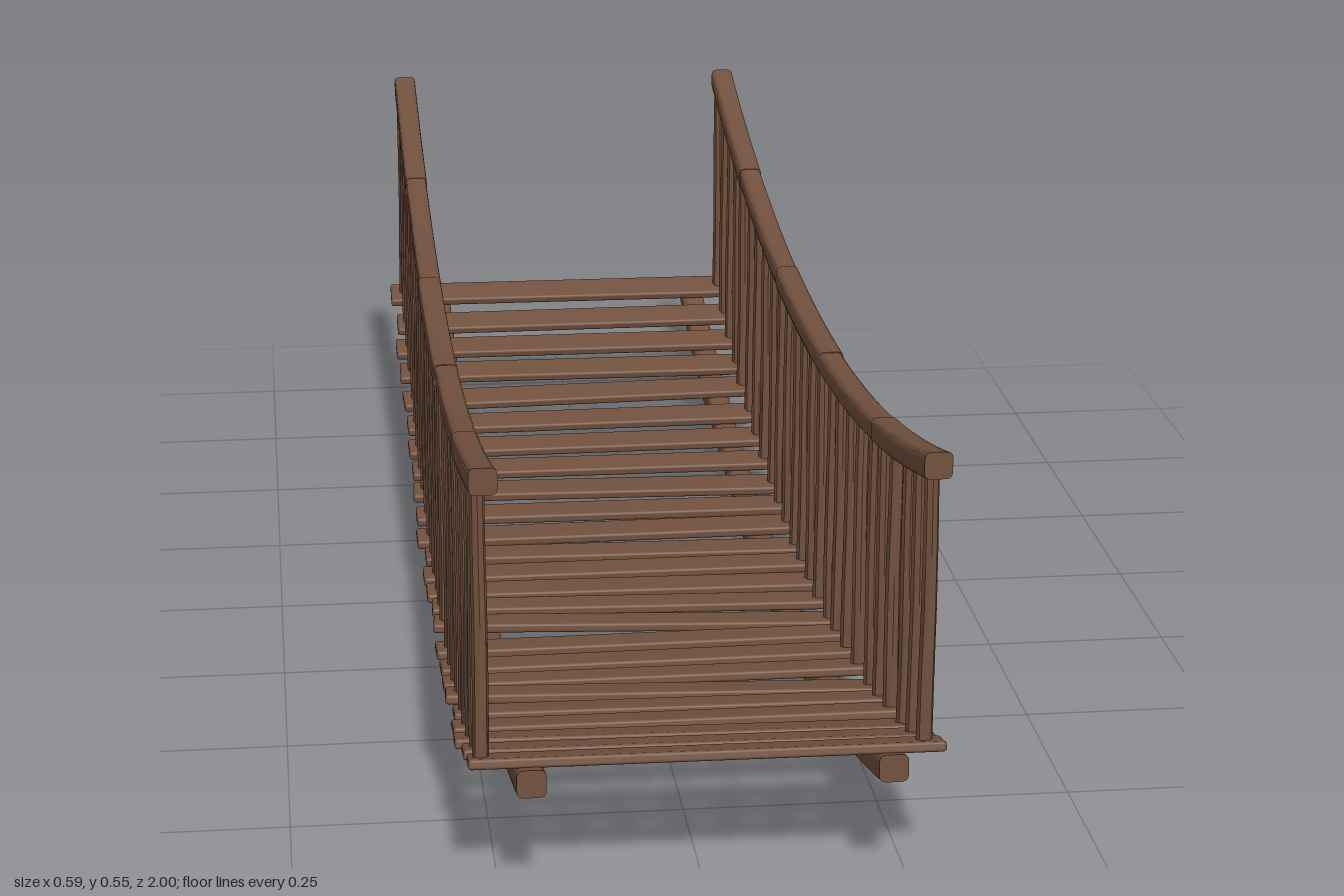
import * as THREE from 'three';
import { toCreasedNormals } from 'three/addons/utils/BufferGeometryUtils.js';
import { RoundedBoxGeometry } from 'three/addons/geometries/RoundedBoxGeometry.js';

const wood = new THREE.MeshStandardMaterial({ color: 0x72513e });
wood.name = 'brown wood';

// heights of the sagging curves along z
const deckTop = z => 0.037 + 0.142 * z * z;
const beamMid = z => 0.018 + 0.142 * z * z;
const railMid = z => 0.406 + 0.137 * z * z;

// small seeded variation in the range -1..1
let seed = 7;
const vary = () => {
  seed = (seed * 16807) % 2147483647;
  return (seed / 2147483647) * 2 - 1;
};

// square section with rounded corners
function section(size) {
  const h = size / 2, r = size * 0.24, s = new THREE.Shape();
  s.moveTo(-h + r, -h);
  s.lineTo(h - r, -h);
  s.quadraticCurveTo(h, -h, h, -h + r);
  s.lineTo(h, h - r);
  s.quadraticCurveTo(h, h, h - r, h);
  s.lineTo(-h + r, h);
  s.quadraticCurveTo(-h, h, -h, h - r);
  s.lineTo(-h, -h + r);
  s.quadraticCurveTo(-h, -h, -h + r, -h);
  return s;
}

// one timber length, bent to follow the sag
function timber(size, x, curve, z0, z1) {
  const g = new THREE.ExtrudeGeometry(section(size), {
    depth: z1 - z0, steps: 8, curveSegments: 3, bevelEnabled: false,
  });
  const p = g.attributes.position;
  for (let i = 0; i < p.count; i++) {
    const z = p.getZ(i) + z0;
    p.setXYZ(i, p.getX(i) + x, p.getY(i) + curve(z), z);
  }
  return toCreasedNormals(g, 0.7);
}

// a run of slightly different timber lengths laid end to end
function run(name, size, x, curve, joints) {
  const group = new THREE.Group();
  group.name = name;
  for (let i = 0; i < joints.length - 1; i++) {
    const s = size + (i % 2 ? -0.002 : 0);
    const m = new THREE.Mesh(timber(s, x + vary() * 0.001, curve, joints[i], joints[i + 1]), wood);
    m.name = name + 'Length';
    group.add(m);
  }
  return group;
}

// a slender, slightly tapering upright
function post(x, z) {
  const y0 = deckTop(z), y1 = railMid(z), h = y1 - y0;
  const g = new THREE.CylinderGeometry(0.009, 0.0103, h, 8, 4);
  const p = g.attributes.position;
  const phase = vary() * 3;
  for (let i = 0; i < p.count; i++) {
    const t = p.getY(i) / h * 6 + phase;
    p.setX(i, p.getX(i) + Math.sin(t) * 0.0007);
    p.setZ(i, p.getZ(i) + Math.cos(t) * 0.0009);
  }
  g.computeVertexNormals();
  const m = new THREE.Mesh(toCreasedNormals(g, 0.9), wood);
  m.position.set(x, (y0 + y1) / 2, z);
  m.name = 'post';
  return m;
}

// plank centres [z, skew of the ends along z]
const planks = [
  [-0.97, 0.003], [-0.88, 0.002], [-0.8, 0], [-0.72, 0.007], [-0.637, -0.013],
  [-0.55, 0], [-0.468, -0.003], [-0.388, 0.002], [-0.305, 0.012], [-0.222, 0.002],
  [-0.143, 0], [-0.062, 0.006], [0.008, 0.003], [0.083, 0.005], [0.155, 0.012],
  [0.235, 0.022], [0.325, 0], [0.408, 0], [0.488, 0], [0.574, 0.014],
  [0.655, 0.002], [0.731, 0], [0.82, 0.007], [0.888, 0.004], [0.955, 0.006],
];

export function createModel() {
  const model = new THREE.Group();
  model.name = 'hangingFootbridge';

  // bearers below the deck
  const beamJoints = [-1, -0.66, -0.3, 0.11, 0.5, 1];
  model.add(run('leftBeam', 0.036, 0.224, beamMid, beamJoints));
  model.add(run('rightBeam', 0.036, -0.213, beamMid, beamJoints));

  // handrails
  const railJoints = [-0.98, -0.62, -0.22, 0.2, 0.62, 0.98];
  model.add(run('leftRail', 0.034, 0.272, railMid, railJoints));
  model.add(run('rightRail', 0.034, -0.265, railMid, railJoints));

  // deck planks, each with a post at both ends
  const deck = new THREE.Group(), posts = new THREE.Group();
  deck.name = 'deck';
  posts.name = 'posts';
  for (const [z, skew] of planks) {
    const g = new RoundedBoxGeometry(0.582 + vary() * 0.006, 0.013, 0.053 + vary() * 0.003, 2, 0.004);
    const plank = new THREE.Mesh(g, wood);
    plank.name = 'plank';
    plank.position.set(vary() * 0.003, deckTop(z) + 0.0045, z);
    plank.rotation.order = 'YXZ';
    plank.rotation.set(-Math.atan(0.284 * z), -Math.atan(skew / 0.29), vary() * 0.005);
    deck.add(plank);
    posts.add(post(0.268, z + skew), post(-0.27, z - skew));
  }
  model.add(deck, posts);
  return model;
}
